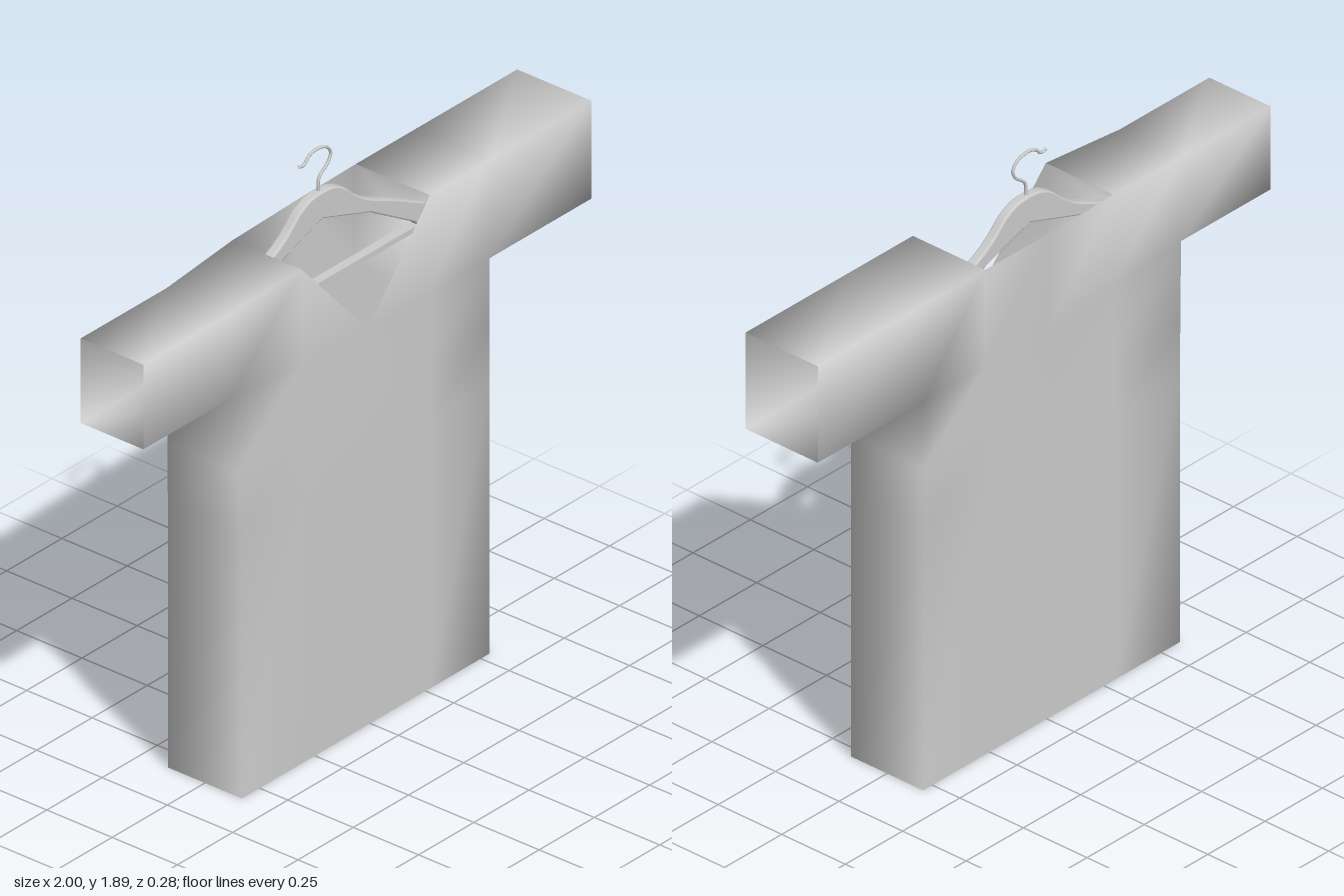
import * as THREE from 'three';
import { mergeVertices } from 'three/addons/utils/BufferGeometryUtils.js';

const clamp = THREE.MathUtils.clamp;
const grey = (side = THREE.FrontSide) => new THREE.MeshStandardMaterial({ color: 0xcccccc, side });

// Stations across the garment: x, sleeve underside, back top edge, front top edge (dips to the V)
const STATIONS = [
  [-1, 1.35, 1.635, 1.635],
  [-0.61, 1.35, 1.635, 1.635],
  [-0.3, 1.34, 1.655, 1.655],
  [-0.01, 1.33, 1.655, 1.33],
  [0.27, 1.33, 1.66, 1.66],
  [0.54, 1.33, 1.66, 1.66],
  [1, 1.33, 1.66, 1.66],
];

// Half depth of the cloth: the right sleeve is slimmer and widens into the body
function depth(x, y) {
  const u = clamp((x + 0.61) / 0.55, 0, 1);
  const v = clamp((1.35 - y) / 0.4, 0, 1);
  return 0.12 + 0.022 * Math.max(u, v);
}

// Thin open shell: sleeve ends, hem and neck stay open
function shirtGeometry() {
  const pos = [];
  const P = (x, y, s) => new THREE.Vector3(x, y, s * depth(x, y));
  const tri = (a, b, c) => {
    const area = b.clone().sub(a).cross(c.clone().sub(a)).length();
    if (area > 1e-7) for (const p of [a, b, c]) pos.push(p.x, p.y, p.z);
  };
  const quad = (a, b, c, d) => { tri(a, b, c); tri(a, c, d); };

  // Yoke and sleeves
  for (let i = 0; i < STATIONS.length - 1; i++) {
    const [x0, lo0, back0, front0] = STATIONS[i];
    const [x1, lo1, back1, front1] = STATIONS[i + 1];
    quad(P(x0, lo0, 1), P(x1, lo1, 1), P(x1, front1, 1), P(x0, front0, 1));
    quad(P(x1, lo1, -1), P(x0, lo0, -1), P(x0, back0, -1), P(x1, back1, -1));
    const neck = i === 2 || i === 3;
    if (!neck) quad(P(x0, front0, 1), P(x1, front1, 1), P(x1, back1, -1), P(x0, back0, -1));
    const sleeve = i === 0 || i === 5;
    if (sleeve) quad(P(x0, lo0, -1), P(x1, lo1, -1), P(x1, lo1, 1), P(x0, lo0, 1));
  }

  // Body, from the hem up to the armpits
  const rowY = [0, 0.9, 1.1, null];
  const rightEdge = [-0.58, -0.58, -0.592, -0.61];
  const point = (r, c, s) => {
    const [x, lo] = STATIONS[c];
    return P(c === 1 ? rightEdge[r] : x, rowY[r] ?? lo, s);
  };
  for (let r = 0; r < 3; r++) {
    for (let c = 1; c < 5; c++) {
      quad(point(r, c, 1), point(r, c + 1, 1), point(r + 1, c + 1, 1), point(r + 1, c, 1));
      quad(point(r, c + 1, -1), point(r, c, -1), point(r + 1, c, -1), point(r + 1, c + 1, -1));
    }
    quad(point(r, 5, 1), point(r, 5, -1), point(r + 1, 5, -1), point(r + 1, 5, 1));
    quad(point(r, 1, -1), point(r, 1, 1), point(r + 1, 1, 1), point(r + 1, 1, -1));
  }

  const soup = new THREE.BufferGeometry();
  soup.setAttribute('position', new THREE.Float32BufferAttribute(pos, 3));
  const geo = mergeVertices(soup, 1e-4);
  geo.computeVertexNormals();
  return geo;
}

function createHanger() {
  const hanger = new THREE.Group();
  hanger.name = 'hanger';
  hanger.position.set(-0.025, 0, -0.035);

  // Curved shoulder bar, mirrored about its middle
  const upper = new THREE.SplineCurve([
    [0, 1.735], [0.05, 1.73], [0.1, 1.705], [0.15, 1.66], [0.21, 1.62], [0.32, 1.57], [0.46, 1.5],
  ].map(([x, y]) => new THREE.Vector2(x, y))).getPoints(24);
  const lower = [[0.47, 1.46], [0.45, 1.43], [0.42, 1.46], [0.22, 1.58]]
    .map(([x, y]) => new THREE.Vector2(x, y));
  const half = [...upper, ...lower];
  const mirrored = half.slice(1).reverse().map((p) => new THREE.Vector2(-p.x, p.y));
  const shape = new THREE.Shape([...half, new THREE.Vector2(0, 1.655), ...mirrored]);
  const arms = new THREE.Mesh(new THREE.ExtrudeGeometry(shape, {
    depth: 0.02, bevelEnabled: true, bevelThickness: 0.007, bevelSize: 0.005, bevelSegments: 2,
  }), grey());
  arms.geometry.translate(0, 0, -0.01);
  arms.name = 'hangerArms';

  // Straight trouser bar
  const bar = new THREE.Mesh(new THREE.BoxGeometry(0.89, 0.018, 0.03), grey());
  bar.position.y = 1.431;
  bar.name = 'hangerBar';

  // Wire hook
  const path = new THREE.CatmullRomCurve3([
    [0, 1.72], [0.002, 1.78], [0.045, 1.818], [0.055, 1.845], [0.037, 1.87],
    [-0.01, 1.882], [-0.045, 1.873], [-0.067, 1.853], [-0.09, 1.856],
  ].map(([x, y]) => new THREE.Vector3(x, y, 0)));
  const hook = new THREE.Mesh(new THREE.TubeGeometry(path, 48, 0.005, 8), grey(THREE.DoubleSide));
  hook.name = 'hangerHook';

  hanger.add(arms, bar, hook);
  return hanger;
}

export function createModel() {
  const model = new THREE.Group();
  model.name = 'shirtOnHanger';
  const shirt = new THREE.Mesh(shirtGeometry(), grey(THREE.DoubleSide));
  shirt.name = 'shirt';
  model.add(shirt, createHanger());
  return model;
}
